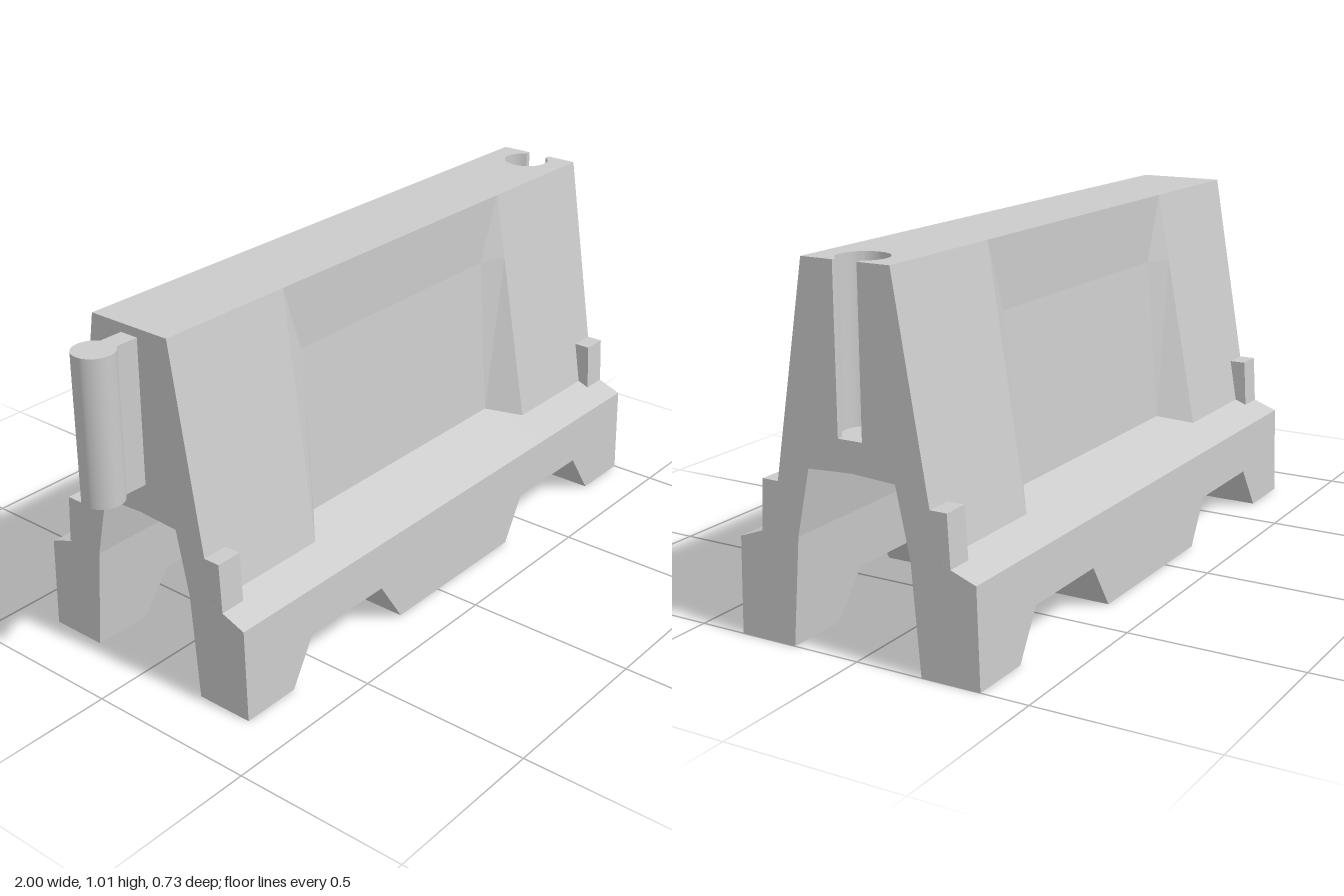
import * as THREE from 'three';
import { toCreasedNormals } from 'three/addons/utils/BufferGeometryUtils.js';

const LEFT = 1, RIGHT = -0.825, TOP = 1.015, SOCKET_FLOOR = 0.575, SLOT = 0.036;
const FOOT_END = 0.815;

// Grid of points (rows of equal length) to a surface; skip(i, j) leaves cells open
function loft(rows, skip = () => false) {
  const pos = [];
  const tri = (a, b, c) => {
    const area = b.clone().sub(a).cross(c.clone().sub(a)).length();
    if (area > 1e-8) for (const p of [a, b, c]) pos.push(p.x, p.y, p.z);
  };
  for (let i = 0; i < rows.length - 1; i++) {
    for (let j = 0; j < rows[i].length - 1; j++) {
      if (skip(i, j)) continue;
      const a = rows[i][j], b = rows[i][j + 1], c = rows[i + 1][j + 1], d = rows[i + 1][j];
      tri(a, d, c);
      tri(a, c, b);
    }
  }
  const geo = new THREE.BufferGeometry();
  geo.setAttribute('position', new THREE.Float32BufferAttribute(pos, 3));
  return geo;
}

// Half cross-section as [z, y], from the tunnel crown around the leg to the top edge
function halfSection(recessed, bottom) {
  const inner = 0.195 - bottom * 0.083, outer = 0.365 - bottom * 0.03;
  return [
    [0, 0.492], [0.13, 0.485], [0.17, 0.3], [inner, bottom], [outer, bottom], [0.357, 0.27],
    ...(recessed ? [[0.168, 0.342], [0.13, 0.82]] : [[0.25, 0.31], [0.163, 0.82]]),
    [0.13, TOP],
  ];
}

function fullSection(recessed, bottom) {
  const half = halfSection(recessed, bottom);
  return [...half, ...half.slice().reverse().map(([z, y]) => [-z, y])];
}

// Arc around (cx, 0) with its opening toward +x
function openArc(cx, r, halfGap, steps = 32) {
  const start = Math.asin(halfGap / r), pts = [];
  for (let i = 0; i <= steps; i++) {
    const a = start + (i / steps) * (2 * Math.PI - 2 * start);
    pts.push(new THREE.Vector2(cx + r * Math.cos(a), r * Math.sin(a)));
  }
  return pts;
}

export function createModel() {
  const group = new THREE.Group();
  const material = new THREE.MeshStandardMaterial({ color: 0xcccccc });
  const add = (name, geo, crease = 0.05) => {
    const mesh = new THREE.Mesh(toCreasedNormals(geo, crease), material);
    mesh.name = name;
    group.add(mesh);
    return mesh;
  };

  // Body shell: [x, recessed, foot height, x at mid height, x at top]
  const stations = [
    [RIGHT, false, 0], [-0.645, false, 0], [-0.565, false, 0.13],
    [-0.42, false, 0.13, -0.405, -0.4], [-0.33, true, 0.13, -0.33, -0.4],
    [-0.265, true, 0.13], [-0.18, true, 0], [0.35, true, 0], [0.43, true, 0.13],
    [0.5, true, 0.13, 0.5, 0.575], [0.59, false, 0.13, 0.579, 0.575],
    [0.73, false, 0.13], [FOOT_END, false, 0], [LEFT, false, 0],
  ];
  const rows = stations.map(([x, recessed, bottom, xMid = x, xTop = x]) =>
    fullSection(recessed, bottom).map(([z, y]) =>
      new THREE.Vector3(y === TOP ? xTop : y === 0.82 ? xMid : x, y, z)));
  add('body', loft(rows, (i, j) => i === stations.length - 2 && j === 8));

  // End walls, the left one notched by the socket slot
  const section = fullSection(false, 0).map(([z, y]) => new THREE.Vector2(z, y));
  const notch = [[SLOT, TOP], [SLOT, SOCKET_FLOOR], [-SLOT, SOCKET_FLOOR], [-SLOT, TOP]]
    .map(([z, y]) => new THREE.Vector2(z, y));
  const notched = [...section.slice(0, 9), ...notch, ...section.slice(9)];
  const endWall = (name, pts, x, turn) => add(name,
    new THREE.ShapeGeometry(new THREE.Shape(pts.slice(0, -1))).rotateY(turn).translate(x, 0, 0));
  endWall('rightEndWall', section, RIGHT, -Math.PI / 2);
  endWall('leftEndWall', notched, LEFT, Math.PI / 2);

  // Keyhole socket at the left end: top plate, walls and floor
  const keyhole = [new THREE.Vector2(LEFT, SLOT), ...openArc(0.925, 0.068, SLOT),
    new THREE.Vector2(LEFT, -SLOT)];
  const plate = [new THREE.Vector2(LEFT, 0.13), new THREE.Vector2(FOOT_END, 0.13),
    new THREE.Vector2(FOOT_END, -0.13), new THREE.Vector2(LEFT, -0.13),
    ...keyhole.slice().reverse()];
  const level = (pts, y) => new THREE.ShapeGeometry(new THREE.Shape(pts))
    .rotateX(-Math.PI / 2).translate(0, y, 0);
  add('socketTopPlate', level(plate, TOP));
  add('socketFloor', level(keyhole, SOCKET_FLOOR));
  const wallRows = [TOP, SOCKET_FLOOR].map((y) =>
    keyhole.map((p) => new THREE.Vector3(p.x, y, -p.y)));
  const walls = add('socketWalls', loft(wallRows), 0.5);
  walls.material = material.clone();
  walls.material.side = THREE.DoubleSide;

  // Connector knob with its neck at the right end
  const knob = new THREE.Shape([new THREE.Vector2(RIGHT, 0.028),
    ...openArc(-0.943, 0.057, 0.028), new THREE.Vector2(RIGHT, -0.028)]);
  add('connectorKnob', new THREE.ExtrudeGeometry(knob, { depth: 0.41, bevelEnabled: false })
    .rotateX(-Math.PI / 2).translate(0, 0.58, 0), 0.5);

  // Lugs on the ledge at the four corners
  for (const side of [1, -1]) {
    const profile = new THREE.Shape([[0.285, 0.297], [0.277, 0.437], [0.228, 0.437], [0.25, 0.31]]
      .map(([z, y]) => new THREE.Vector2(-side * z, y)));
    for (const [name, x] of [['rightLug', RIGHT], ['leftLug', LEFT - 0.078]]) {
      add((side > 0 ? 'front ' : 'back ') + name,
        new THREE.ExtrudeGeometry(profile, { depth: 0.078, bevelEnabled: false })
          .rotateY(Math.PI / 2).translate(x, 0, 0));
    }
  }
  return group;
}
